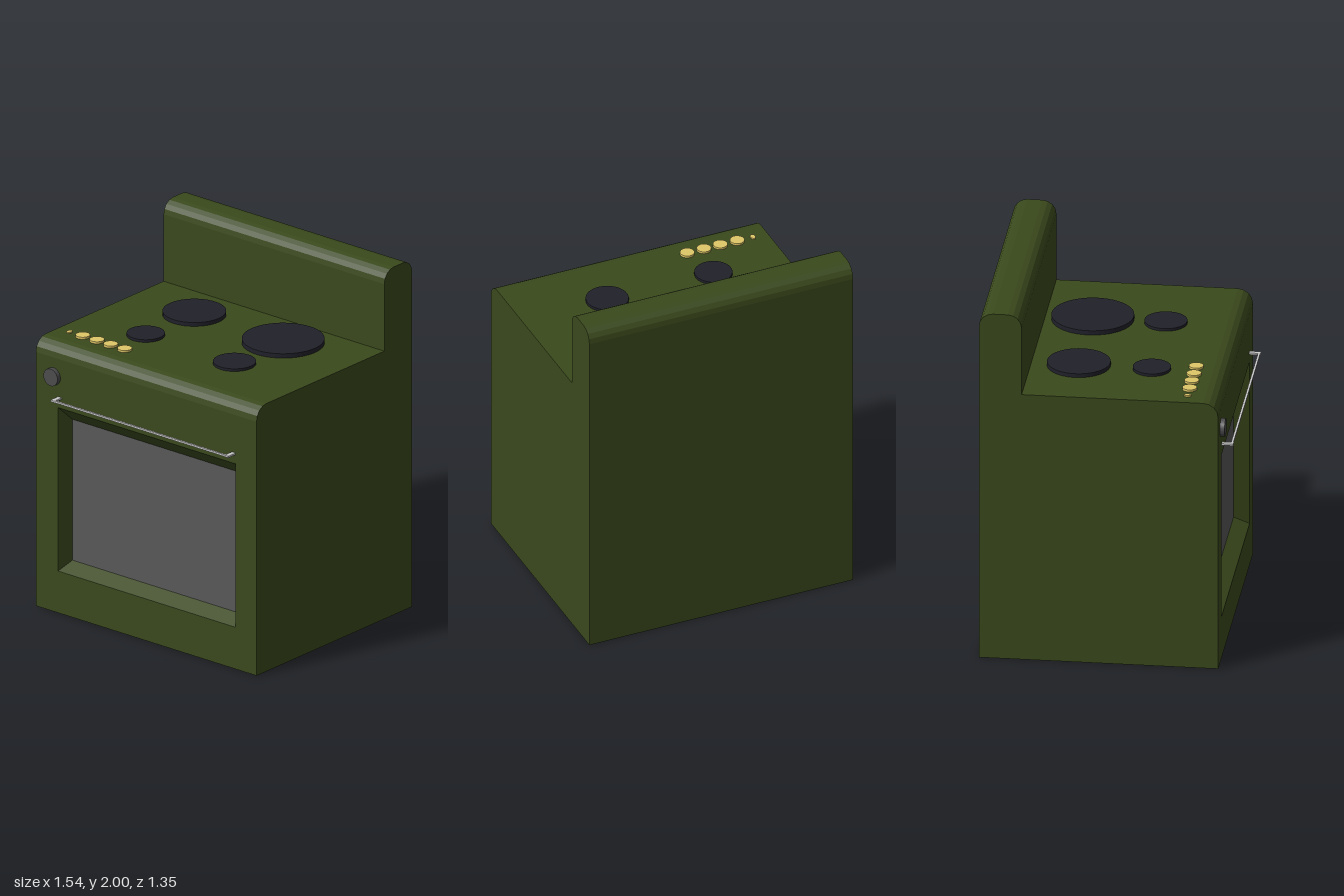
import * as THREE from 'three';

const W = 0.77, FRONT = 0.61, BACK = -0.675, DECK = 1.54, TOP = 2, STEP = -0.445;

const mat = (color) => new THREE.MeshStandardMaterial({ color, flatShading: true });

// Quads between two matching open strips of points
function loft(a, b) {
  const pos = [];
  for (let i = 0; i < a.length - 1; i++) {
    for (const p of [a[i], b[i], b[i + 1], a[i], b[i + 1], a[i + 1]]) pos.push(...p);
  }
  const g = new THREE.BufferGeometry();
  g.setAttribute('position', new THREE.Float32BufferAttribute(pos, 3));
  g.computeVertexNormals();
  return g;
}

// Faceted quarter round in the (z, y) plane
function arc(z, y, r, from, to, n = 4) {
  return Array.from({ length: n + 1 }, (_, i) => {
    const t = from + ((to - from) * i) / n;
    return [z + r * Math.cos(t), y + r * Math.sin(t)];
  });
}

export function createModel() {
  const model = new THREE.Group();
  const green = mat(0x3a491c), dark = mat(0x20202a), gold = mat(0xe0c868);
  const glass = mat(0x585858), knobGrey = mat(0x4c4c4e), metal = mat(0xcccccc);

  const add = (name, geometry, material, x = 0, y = 0, z = 0, parent = model) => {
    const mesh = new THREE.Mesh(geometry, material);
    mesh.name = name;
    mesh.position.set(x, y, z);
    parent.add(mesh);
    return mesh;
  };

  // Side profile as (z, y): front edge, cooktop, upright back panel, back, floor
  const H = Math.PI / 2, r = 0.08, rt = 0.075;
  const profile = [
    ...arc(FRONT - r, DECK - r, r, 0, H),
    [STEP, DECK],
    ...arc(STEP - rt, TOP - rt, rt, 0, H),
    ...arc(BACK + rt, TOP - rt, rt, H, 2 * H),
    [BACK, 0],
    [FRONT, 0],
  ];

  const body = new THREE.Group();
  body.name = 'body';
  model.add(body);
  const at = (x) => profile.map(([z, y]) => [x, y, z]);
  add('bodyShell', loft(at(-W), at(W)), green, 0, 0, 0, body);

  // Side walls
  for (const s of [1, -1]) {
    const shape = new THREE.Shape(profile.map(([z, y]) => new THREE.Vector2(-s * z, y)));
    const wall = new THREE.ShapeGeometry(shape).rotateY(s * H);
    add(s > 0 ? 'leftWall' : 'rightWall', wall, green, s * W, 0, 0, body);
  }

  // Front panel with the oven window opening
  const rect = (x0, x1, y0, y1) => [[x1, y0], [x0, y0], [x0, y1], [x1, y1], [x1, y0]];
  const outer = rect(-0.615, 0.625, 0.24, 1.18);
  const inner = rect(-0.585, 0.597, 0.285, 1.095);
  const toPath = (pts) => pts.slice(0, 4).map(([x, y]) => new THREE.Vector2(x, y));
  const panel = new THREE.Shape(toPath(rect(-W, W, 0, DECK - r)));
  panel.holes.push(new THREE.Path(toPath(outer)));
  add('frontPanel', new THREE.ShapeGeometry(panel), green, 0, 0, FRONT, body);

  // Bevelled window recess and its pane
  const depth = 0.083;
  const ring = (pts, z) => pts.map(([x, y]) => [x, y, z]);
  add('windowRecess', loft(ring(outer, FRONT), ring(inner, FRONT - depth)), green, 0, 0, 0, body);
  add('windowPane', new THREE.ShapeGeometry(new THREE.Shape(toPath(inner))), glass, 0, 0, FRONT - depth);

  // Hot plates: x, z, radius, height
  for (const [x, z, rad, h] of [
    [-0.34, -0.19, 0.17, 0.022], [0.28, -0.19, 0.221, 0.025],
    [-0.347, 0.203, 0.102, 0.015], [0.273, 0.203, 0.115, 0.015],
  ]) add('hotPlate', new THREE.CylinderGeometry(rad, rad, h, 48), dark, x, DECK + h / 2, z);

  // Cooktop dials and the small oval indicator
  for (const x of [-0.59, -0.491, -0.396, -0.298]) {
    add('dial', new THREE.CylinderGeometry(0.039, 0.039, 0.012, 32), gold, x, DECK + 0.006, 0.435);
  }
  add('indicator', new THREE.CylinderGeometry(0.02, 0.02, 0.008, 24), gold, -0.682, DECK + 0.004, 0.435)
    .scale.x = 0.68;

  // Oven knob
  add('ovenKnob', new THREE.CylinderGeometry(0.049, 0.049, 0.025, 32).rotateX(H), knobGrey,
    -0.647, 1.352, FRONT + 0.0125);

  // Door handle: thin bar on two brackets
  const handle = new THREE.Group();
  handle.name = 'doorHandle';
  model.add(handle);
  add('handleBar', new THREE.BoxGeometry(1.24, 0.01, 0.012), metal, 0.005, 1.238, 0.664, handle);
  for (const x of [-0.602, 0.612]) {
    add('handleBracket', new THREE.BoxGeometry(0.026, 0.01, 0.062), metal, x, 1.238, 0.641, handle);
  }

  return model;
}
